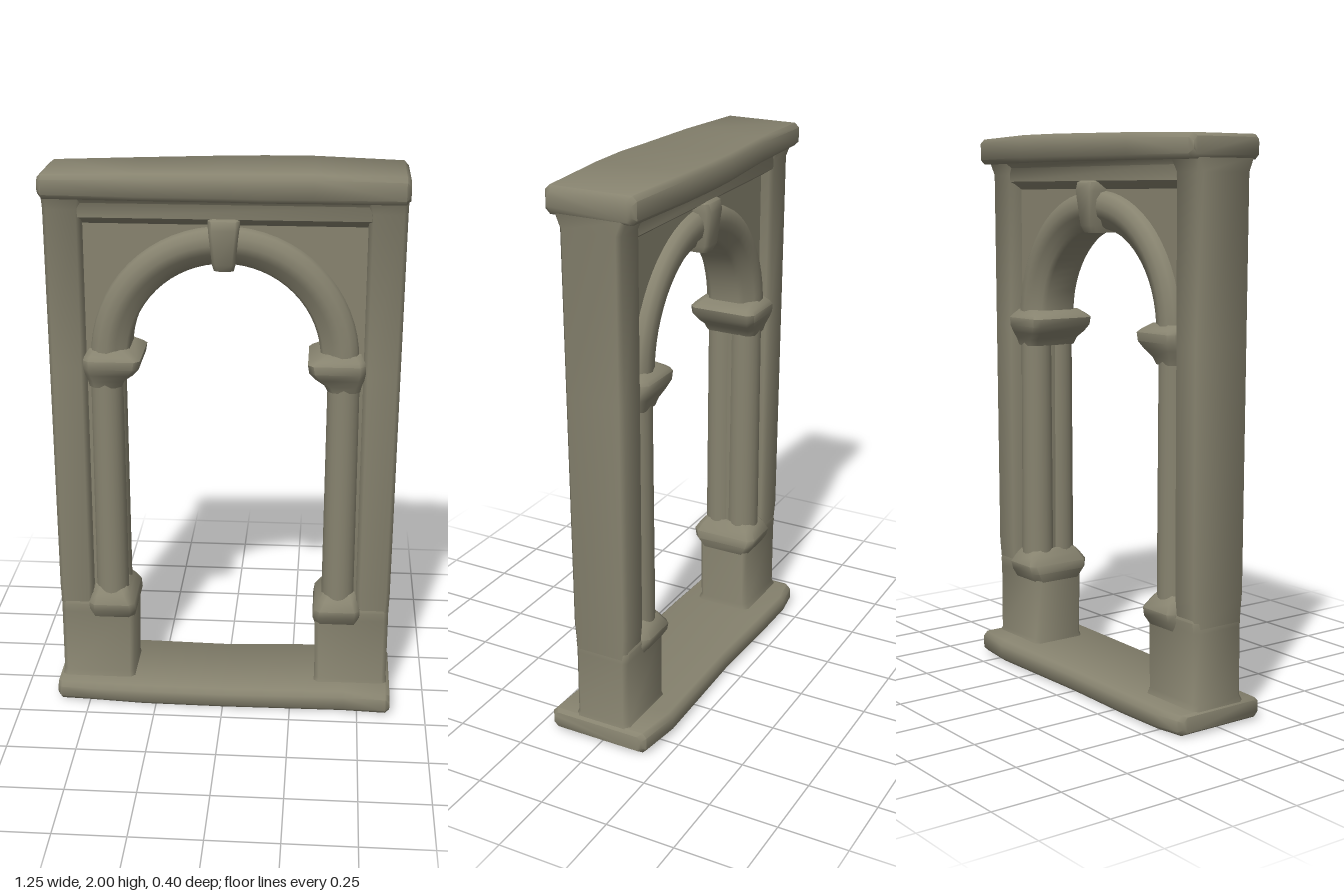
import * as THREE from 'three';
import { toCreasedNormals } from 'three/addons/utils/BufferGeometryUtils.js';

const stone = new THREE.MeshStandardMaterial({ color: 0x87836f });
stone.name = 'weathered stone';

// Loft through chamfered rectangles; each section is [height, x0, x1, z0, z1].
function loft(sections, chamfer = 0.015, crease = 0.9) {
  const pos = [], idx = [], n = 8;
  for (const [y, x0, x1, z0, z1] of sections) {
    const c = Math.min(chamfer, (x1 - x0) / 3, (z1 - z0) / 3);
    const ring = [
      [x1, z0 + c], [x1, z1 - c], [x1 - c, z1], [x0 + c, z1],
      [x0, z1 - c], [x0, z0 + c], [x0 + c, z0], [x1 - c, z0],
    ];
    for (const [x, z] of ring) pos.push(x, y, z);
  }
  const top = (sections.length - 1) * n;
  for (let k = 0; k < top; k += n) {
    for (let i = 0; i < n; i++) {
      const a = k + i, b = k + (i + 1) % n;
      idx.push(a, a + n, b, b, a + n, b + n);
    }
  }
  for (let i = 1; i < n - 1; i++) {
    idx.push(0, i, i + 1, top, top + i + 1, top + i);
  }
  const g = new THREE.BufferGeometry();
  g.setAttribute('position', new THREE.Float32BufferAttribute(pos, 3));
  g.setIndex(idx);
  return toCreasedNormals(g, crease);
}

// Slab lofted along x; each section is [x, y0, y1, z0, z1].
function slab(sections, chamfer) {
  const g = loft(sections.map(([x, y0, y1, z0, z1]) => [x, -y1, -y0, z0, z1]), chamfer);
  return g.rotateZ(-Math.PI / 2);
}

export function createModel() {
  const model = new THREE.Group();
  model.name = 'stone archway';
  const add = (name, geometry, x = 0, y = 0, z = 0) => {
    const m = new THREE.Mesh(geometry, stone);
    m.name = name;
    m.position.set(x, y, z);
    model.add(m);
    return m;
  };

  // Worn base and cornice slabs
  add('base', slab([
    [-0.62, 0.015, 0.07, -0.165, 0.16], [-0.605, 0.005, 0.075, -0.18, 0.175],
    [-0.5, 0.005, 0.075, -0.197, 0.18], [-0.3, 0, 0.075, -0.193, 0.187],
    [0, 0, 0.075, -0.185, 0.19], [0.45, 0.005, 0.083, -0.2, 0.192],
    [0.605, 0.005, 0.083, -0.18, 0.2], [0.62, 0.015, 0.072, -0.165, 0.19],
  ], 0.016));
  add('cornice', slab([
    [-0.625, 1.915, 1.972, -0.145, 0.13], [-0.61, 1.9, 1.983, -0.155, 0.142],
    [-0.3, 1.902, 1.992, -0.165, 0.16], [0, 1.903, 1.997, -0.19, 0.168],
    [0.13, 1.903, 1.999, -0.193, 0.175], [0.3, 1.903, 2, -0.19, 0.17],
    [0.605, 1.9, 1.993, -0.168, 0.158], [0.62, 1.912, 1.978, -0.155, 0.145],
  ], 0.016));

  // Top rail, sloping back to the recessed panel and flaring under the cornice
  add('topRail', loft([
    [1.805, -0.5, 0.5, -0.062, 0.062], [1.835, -0.5, 0.5, -0.108, 0.108],
    [1.885, -0.5, 0.5, -0.11, 0.11], [1.91, -0.5, 0.5, -0.135, 0.135],
  ], 0.005));

  // Recessed spandrel wall with the arch cut away
  const wall = new THREE.Shape();
  wall.moveTo(-0.52, 1.3);
  wall.lineTo(-0.36, 1.3);
  wall.lineTo(-0.36, 1.335);
  wall.absarc(0, 1.335, 0.36, Math.PI, 0, true);
  wall.lineTo(0.36, 1.3);
  wall.lineTo(0.52, 1.3);
  wall.lineTo(0.52, 1.88);
  wall.lineTo(-0.52, 1.88);
  wall.closePath();
  add('spandrelWall', new THREE.ExtrudeGeometry(wall,
    { depth: 0.13, bevelEnabled: false, curveSegments: 24 }), 0, 0, -0.065);

  // Rounded arch moulding with a stepped soffit
  const half = [[0.465, 0], [0.47, 0.06], [0.462, 0.088], [0.44, 0.104],
    [0.41, 0.107], [0.38, 0.098], [0.366, 0.08], [0.345, 0.072], [0.335, 0.055]];
  const back = half.slice(1).reverse().map(([r, z]) => [r, -z]);
  const profile = [...back, ...half, back[0]].map(([r, z]) => new THREE.Vector2(r, z));
  const arch = new THREE.LatheGeometry(profile, 32, Math.PI / 2, Math.PI);
  add('archMoulding', toCreasedNormals(arch.rotateX(Math.PI / 2), 0.9), 0, 1.335, 0);

  // Keystone
  add('keystone', loft([
    [1.655, -0.034, 0.034, -0.105, 0.105], [1.68, -0.04, 0.04, -0.118, 0.118],
    [1.8, -0.052, 0.052, -0.13, 0.13], [1.83, -0.054, 0.054, -0.122, 0.122],
    [1.84, -0.048, 0.048, -0.1, 0.1],
  ], 0.012));

  for (const s of [1, -1]) {
    const side = s > 0 ? 'left' : 'right';
    // Sections given as [height, inner x, outer x, half depth]
    const sideLoft = (name, rows, chamfer) => add(side + name, loft(rows.map(([y, a, b, z]) =>
      [y, Math.min(a * s, b * s), Math.max(a * s, b * s), -z, z]), chamfer));

    sideLoft('Pilaster', [
      [0.07, 0.49, 0.605, 0.1], [0.35, 0.49, 0.605, 0.1], [0.45, 0.485, 0.608, 0.107],
      [1.3, 0.485, 0.612, 0.109], [1.86, 0.485, 0.615, 0.11], [1.91, 0.475, 0.615, 0.13],
    ], 0.014);
    sideLoft('Jamb', [[0.35, 0.375, 0.5, 0.06], [1.32, 0.375, 0.5, 0.06]], 0.006);

    // Pedestal with a flared foot, and the sloping lip under the column
    sideLoft('Pedestal', [
      [0.065, 0.335, 0.612, 0.115], [0.095, 0.34, 0.606, 0.102],
      [0.34, 0.335, 0.606, 0.102], [0.375, 0.345, 0.604, 0.106],
      [0.4, 0.38, 0.6, 0.095],
    ], 0.016);
    sideLoft('ColumnBase', [
      [0.32, 0.335, 0.5, 0.1], [0.355, 0.327, 0.5, 0.122], [0.385, 0.332, 0.5, 0.13],
      [0.415, 0.35, 0.49, 0.112], [0.44, 0.365, 0.48, 0.09],
    ], 0.02);

    // Engaged round columns on the front and back
    for (const f of [1, -1]) {
      const shaft = new THREE.CylinderGeometry(0.057, 0.06, 0.9, 20, 1, true);
      add(side + (f > 0 ? 'Front' : 'Back') + 'Column', shaft, s * 0.418, 0.84, f * 0.046);
    }

    // Flared capital
    sideLoft('Capital', [
      [1.225, 0.362, 0.475, 0.1], [1.25, 0.35, 0.48, 0.107], [1.275, 0.318, 0.488, 0.118],
      [1.3, 0.297, 0.492, 0.128], [1.33, 0.292, 0.492, 0.13], [1.342, 0.305, 0.488, 0.12],
      [1.36, 0.335, 0.475, 0.1],
    ], 0.02);
  }
  return model;
}
